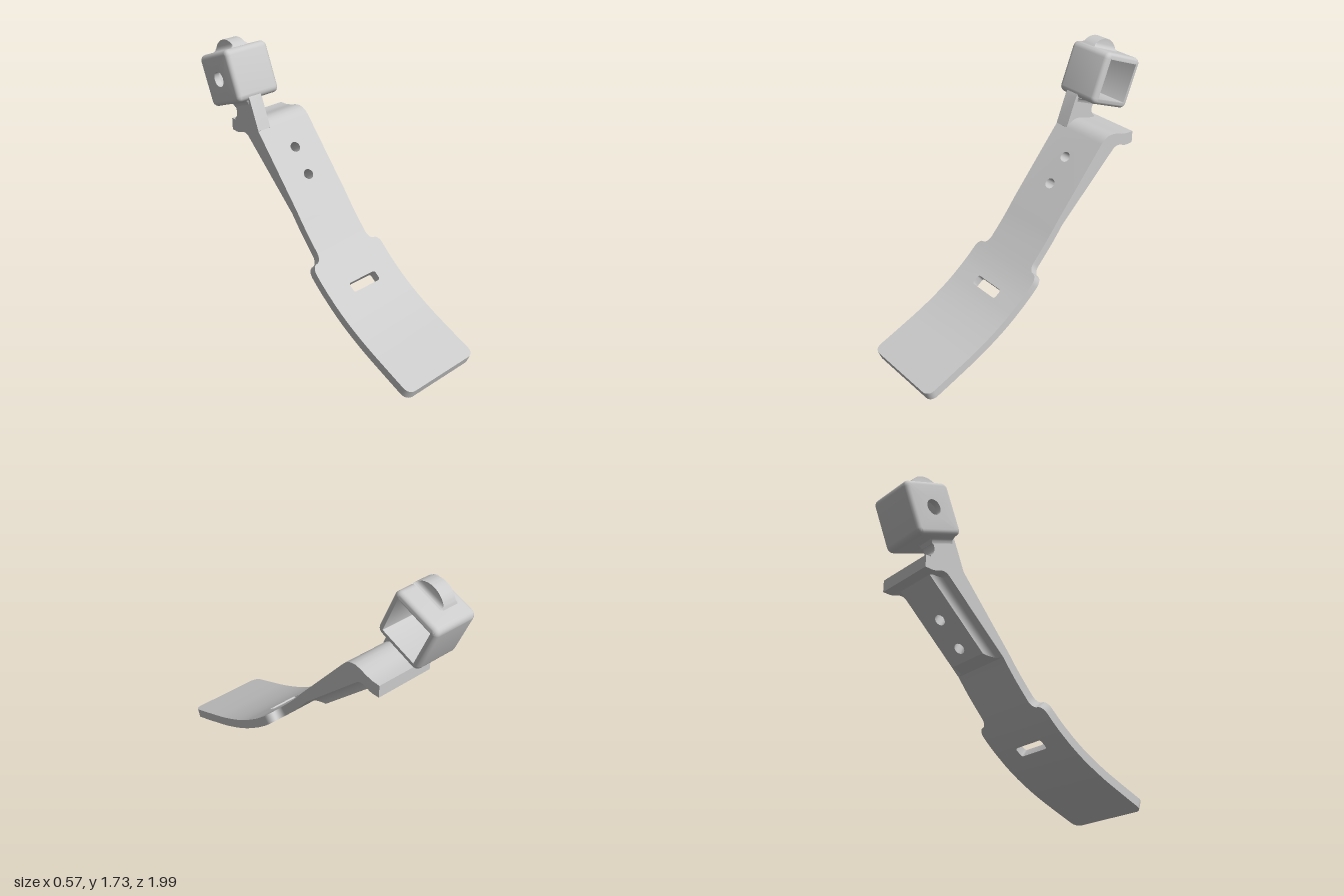
import * as THREE from 'three';
import { toCreasedNormals } from 'three/addons/utils/BufferGeometryUtils.js';

const material = new THREE.MeshStandardMaterial({ color: 0xcccccc });
const lerp = THREE.MathUtils.lerp;

function makeMesh(name, geometry, crease = 0.5) {
  const mesh = new THREE.Mesh(toCreasedNormals(geometry, crease), material);
  mesh.name = name;
  return mesh;
}

function fromTriangles(triangles) {
  const geometry = new THREE.BufferGeometry();
  geometry.setAttribute('position', new THREE.Float32BufferAttribute(triangles.flat(2), 3));
  return geometry;
}

// Surface through a list of sections, each a list of [x, y, z]
function loft(sections, closed) {
  const tris = [];
  const n = sections[0].length;
  for (let i = 0; i < sections.length - 1; i++) {
    for (let j = 0; j < (closed ? n : n - 1); j++) {
      const k = (j + 1) % n;
      const [a, b, c, d] = [sections[i][j], sections[i + 1][j], sections[i + 1][k], sections[i][k]];
      tris.push([a, b, c], [a, c, d]);
    }
  }
  return fromTriangles(tris);
}

// Solid curved sheet. Each layer lists stations [halfWidth, z, y];
// holes[band](layerIndex) gives outlines as [x, fraction along the band].
function sheet(layers, holes = {}) {
  const tris = [];
  const last = layers.length - 1;
  const bands = layers[0].length - 1;
  for (let i = 0; i < bands; i++) {
    const flat = layers.map((layer, l) => {
      const w0 = layer[i][0], w1 = layer[i + 1][0];
      return [[[-w0, 0], [w0, 0], [w1, 1], [-w1, 1]], ...(holes[i] ? holes[i](l) : [])];
    });
    const solid = flat.map((loops, l) => loops.map((loop) => loop.map(([x, f]) => {
      const a = layers[l][i], b = layers[l][i + 1];
      return [x, lerp(a[2], b[2], f), lerp(a[1], b[1], f)];
    })));
    // upper and lower faces
    for (const l of [0, last]) {
      const [contour, ...inner] = flat[l].map((loop) => loop.map((p) => new THREE.Vector2(...p)));
      const points = solid[l].flat();
      for (const [a, b, c] of THREE.ShapeUtils.triangulateShape(contour, inner)) {
        tris.push(l === 0 ? [points[a], points[b], points[c]] : [points[a], points[c], points[b]]);
      }
    }
    // side, end and hole walls
    for (let l = 0; l < last; l++) {
      solid[l].forEach((top, h) => top.forEach((a, j) => {
        if (h === 0 && ((j === 0 && i > 0) || (j === 2 && i < bands - 1))) return;
        const k = (j + 1) % top.length;
        const low = solid[l + 1][h];
        tris.push([low[j], low[k], top[k]], [low[j], top[k], a]);
      }));
    }
  }
  return fromTriangles(tris);
}

function roundHole(f, rx, rf) {
  return Array.from({ length: 24 }, (_, k) => {
    const a = (k / 24) * Math.PI * 2;
    return [rx * Math.cos(a), f - rf * Math.sin(a)];
  });
}

// Closed rounded square (a circle when h equals r) at a given x
function squareSection(x, h, r) {
  const points = [];
  for (let c = 0; c < 4; c++) {
    const mid = (c + 0.5) * Math.PI / 2;
    for (let k = 0; k <= 6; k++) {
      const a = (c + k / 6) * Math.PI / 2;
      points.push([x, Math.sign(Math.sin(mid)) * (h - r) + r * Math.sin(a),
        Math.sign(Math.cos(mid)) * (h - r) + r * Math.cos(a)]);
    }
  }
  return points;
}

// Ridge on a flat face with concave fillets along both sides
function ridge(x0, x1, u0, u1, height) {
  const f = 0.028;
  const across = [0, 0.15, 0.35, 0.6, 0.85, 1].map((t) => {
    const d = f * (1 - t);
    return [d, f - Math.sqrt(f * f - (f - d) ** 2)];
  });
  across.push([0, 1]);
  const sections = [];
  for (let i = 0; i <= 28; i++) {
    const u = lerp(u0, u1, i / 28);
    const h = Math.max(0, height(u));
    const left = across.map(([d, y]) => [x0 - d, Math.min(h, y), u]);
    const right = across.map(([d, y]) => [x1 + d, Math.min(h, y), u]).reverse();
    sections.push([...left, ...right]);
  }
  return loft(sections, false);
}

export function createModel() {
  const model = new THREE.Group();

  // Curved strap: half-width along the length, with rounded toe and shoulders
  const curve = new THREE.SplineCurve([[1, 0.065], [0.8, 0.136], [0.6, 0.213], [0.4, 0.315],
    [0.2, 0.46], [0, 0.66], [-0.11, 0.79]].map((p) => new THREE.Vector2(...p)));
  const length = curve.getLength();
  const widths = [];
  for (let k = 0; k <= 6; k++) {
    const a = (k / 6) * Math.PI / 2;
    widths.push([0.05 * (1 - Math.cos(a)), 0.235 + 0.05 * Math.sin(a)]);
  }
  for (let d = 0.12; d < 0.7; d += 0.066) widths.push([d, 0.285]);
  const slotBand = widths.length;
  for (const d of [0.715, 0.81, 0.875, 0.935]) widths.push([d, 0.285]);
  for (let k = 1; k <= 6; k++) {
    const a = (k / 6) * Math.PI / 2;
    widths.push([0.935 + 0.06 * Math.sin(a), 0.245 + 0.04 * Math.cos(a)]);
  }
  for (let k = 1; k <= 6; k++) {
    const a = (k / 6) * Math.PI / 2;
    widths.push([1.055 - 0.06 * Math.cos(a), 0.245 - 0.04 * Math.sin(a)]);
  }
  for (const d of [1.13, 1.2, 1.27, length]) widths.push([d, 0.205]);

  const upper = [], lower = [];
  for (const [d, w] of widths) {
    const u = Math.min(1, d / length);
    const p = curve.getPointAt(u), t = curve.getTangentAt(u);
    upper.push([w, p.x, p.y]);
    lower.push([w, p.x - t.y * 0.061, p.y + t.x * 0.061]);
  }
  // Straight upper arm and the lip that bends backwards
  const armBand = upper.length - 1;
  const lip = [
    [-0.48, 1.21, -0.585, 1.135], [-0.505, 1.232, -0.6, 1.147], [-0.535, 1.246, -0.62, 1.153],
    [-0.57, 1.25, -0.645, 1.152], [-0.61, 1.243, -0.67, 1.143], [-0.66, 1.225, -0.69, 1.134],
    [-0.71, 1.213, -0.715, 1.13], [-0.765, 1.21, -0.765, 1.13]];
  for (const [z, y, z2, y2] of lip) {
    upper.push([0.205, z, y]);
    lower.push([0.205, z2, y2]);
  }

  // Slot with rounded corners and two screw holes
  const slot = [];
  for (const [sx, sy, start] of [[1, 1, 0], [1, -1, 3], [-1, -1, 2], [-1, 1, 1]]) {
    for (let k = 4; k >= 0; k--) {
      const a = (start + k / 4) * Math.PI / 2;
      slot.push([sx * 0.095 + 0.015 * Math.cos(a), 0.5 + sy * 0.2 + 0.15 * Math.sin(a)]);
    }
  }
  model.add(makeMesh('strap', sheet([upper, lower], {
    [slotBand]: () => [slot],
    [armBand]: () => [roundHole(0.34, 0.035, 0.06), roundHole(0.69, 0.035, 0.06)],
  })));

  // Raised pad under the arm, with concave flanks
  const base = lower[armBand];
  const padLayers = [];
  for (let k = 0; k <= 6; k++) {
    const t = k / 6;
    const w = 0.14 + 0.055 * (1 - Math.sqrt(1 - (1 - t) ** 2));
    padLayers.push([
      [w, lerp(base[1], -0.262, t), lerp(base[2], 0.763, t)],
      [w, lerp(-0.585, -0.697, t), lerp(1.135, 1.15, t)]]);
  }
  model.add(makeMesh('undersidePad', sheet(padLayers, {
    0: (l) => [[0.34, 0.15], [0.69, 0.51]].map(([a, b]) => roundHole(lerp(a, b, l / 6), 0.035, 0.06)),
  })));

  // Stem joining lip and socket, with a round notch behind
  const stemShape = new THREE.Shape();
  stemShape.moveTo(-0.575, 1.43);
  stemShape.lineTo(-0.556, 1.4);
  stemShape.lineTo(-0.48, 1.212);
  stemShape.lineTo(-0.51, 1.18);
  stemShape.lineTo(-0.73, 1.18);
  stemShape.lineTo(-0.73, 1.221);
  stemShape.absarc(-0.765, 1.27, 0.06, -0.95, 1.2, false);
  stemShape.lineTo(-0.749, 1.345);
  stemShape.lineTo(-0.59, 1.411);
  const stem = new THREE.ExtrudeGeometry(stemShape, { depth: 0.095, bevelEnabled: false, curveSegments: 16 });
  stem.rotateY(-Math.PI / 2);
  // the rotation sends shape x to +z and depth to -x
  stem.translate(-0.11, 0, 0);
  model.add(makeMesh('stem', stem));

  // Hollow socket, open on its left side, with a round hole in the far wall
  const socket = new THREE.Group();
  socket.name = 'socket';
  socket.position.set(0, 1.495, -0.778);
  socket.rotation.x = -Math.PI / 8;
  const sections = [squareSection(-0.28, 0.05, 0.05)];
  for (let k = 0; k <= 5; k++) {
    const a = (k / 5) * Math.PI / 2;
    sections.push(squareSection(-0.25 - 0.03 * Math.cos(a), 0.14 + 0.03 * Math.sin(a), 0.01 + 0.03 * Math.sin(a)));
  }
  for (let k = 5; k >= 0; k--) {
    const a = (k / 5) * Math.PI / 2;
    sections.push(squareSection(0.008 + 0.03 * Math.cos(a), 0.14 + 0.03 * Math.sin(a), 0.01 + 0.03 * Math.sin(a)));
  }
  sections.push(squareSection(0.038, 0.13, 0.002), squareSection(-0.24, 0.13, 0.002),
    squareSection(-0.24, 0.05, 0.05), squareSection(-0.28, 0.05, 0.05));
  socket.add(makeMesh('socketShell', loft(sections, true), 0.6));

  // Half-round tab on top and filleted root of the stem below
  const tab = makeMesh('roundTab', ridge(-0.205, -0.11, -0.066, 0.16,
    (u) => Math.sqrt(Math.max(0, 0.13 ** 2 - (u - 0.047) ** 2)) - 0.065));
  tab.position.y = 0.17;
  const root = makeMesh('stemRoot', ridge(-0.205, -0.11, -0.15, 0.03,
    (u) => (u < -0.149 || u > 0.029 ? 0 : 0.028)));
  root.position.y = -0.17;
  root.rotation.x = Math.PI;
  socket.add(tab, root);
  model.add(socket);

  return model;
}
